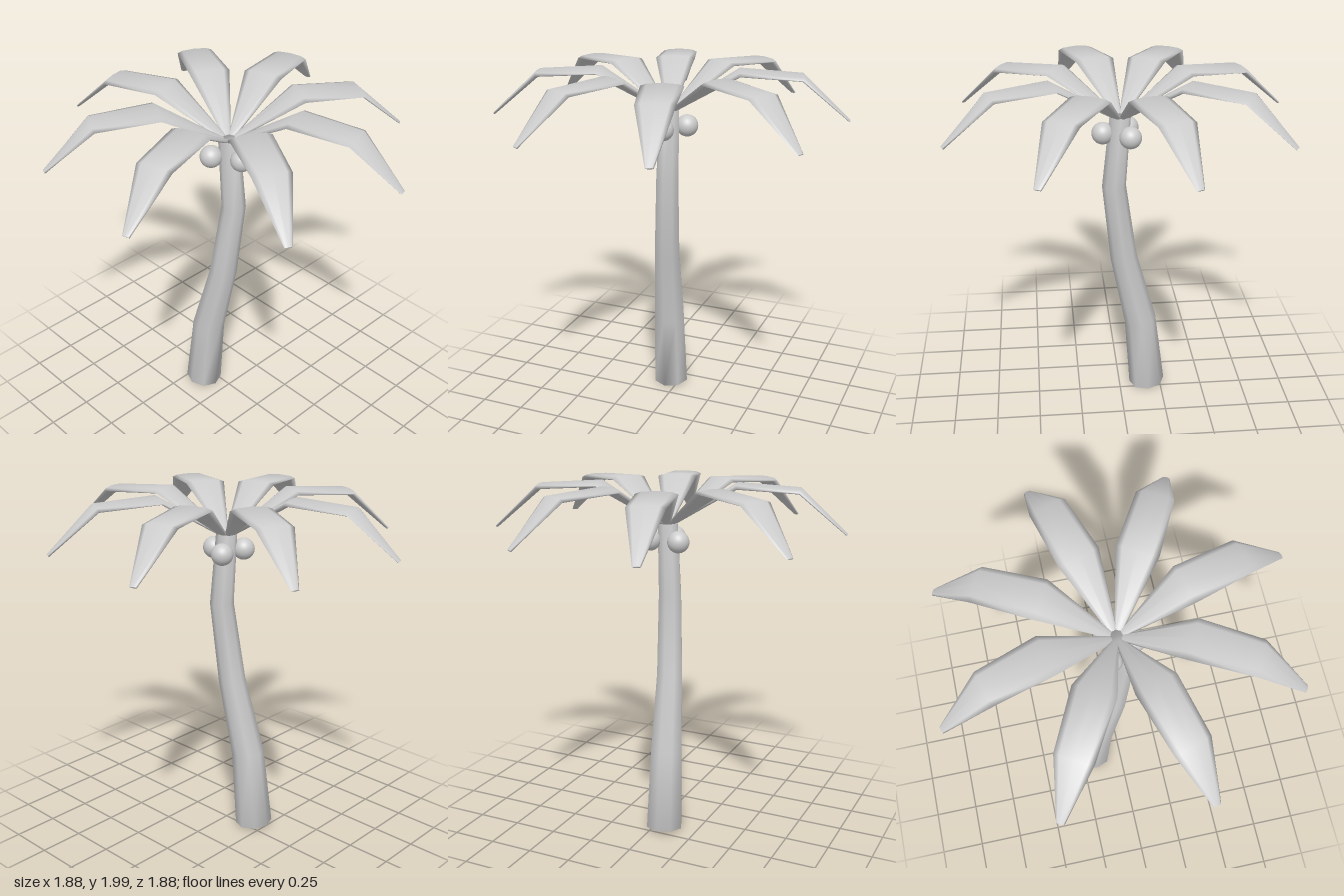
import * as THREE from 'three';

const SIDES = 8;

// Skin a list of elliptical rings { c: centre, u, v: half-axes }, capped at both ends.
// u x v must point along the direction of travel.
function loft(rings, turn = 0) {
  const pos = [], index = [];
  for (const { c, u, v } of rings) {
    for (let i = 0; i < SIDES; i++) {
      const a = (i / SIDES) * Math.PI * 2 + turn;
      const p = c.clone().addScaledVector(u, Math.cos(a)).addScaledVector(v, Math.sin(a));
      pos.push(p.x, p.y, p.z);
    }
  }
  for (let r = 0; r < rings.length - 1; r++) {
    for (let i = 0; i < SIDES; i++) {
      const a = r * SIDES + i, b = r * SIDES + ((i + 1) % SIDES);
      index.push(a, b, b + SIDES, a, b + SIDES, a + SIDES);
    }
  }
  const last = (rings.length - 1) * SIDES;
  for (let i = 1; i < SIDES - 1; i++) {
    index.push(0, i + 1, i, last, last + i, last + i + 1);
  }
  const geo = new THREE.BufferGeometry();
  geo.setAttribute('position', new THREE.Float32BufferAttribute(pos, 3));
  geo.setIndex(index);
  geo.computeVertexNormals();
  return geo;
}

// Direction of a path at point i
function tangent(points, i) {
  const a = points[Math.max(i - 1, 0)], b = points[Math.min(i + 1, points.length - 1)];
  return b.clone().sub(a).normalize();
}

// Curved, tapering stem: x, y, z, radius
function trunkGeometry() {
  const data = [
    [-0.17, 0.018, 0.058, 0.107],
    [-0.125, 0.47, 0.05, 0.094],
    [-0.022, 0.91, 0.023, 0.077],
    [0.035, 1.37, -0.002, 0.067],
    [0, 1.775, 0, 0.058],
  ];
  const centres = data.map(([x, y, z]) => new THREE.Vector3(x, y, z));
  return loft(data.map((d, i) => {
    const t = tangent(centres, i);
    const u = new THREE.Vector3(0, 0, 1).cross(t).negate().normalize();
    const v = t.clone().cross(u);
    return { c: centres[i], u: u.multiplyScalar(d[3]), v: v.multiplyScalar(d[3]) };
  }));
}

// Flattened, drooping leaf along +x: distance out, height, half-width, half-thickness
function frondGeometry() {
  const data = [
    [0.035, 1.775, 0.021, 0.012],
    [0.38, 1.982, 0.112, 0.016],
    [0.715, 1.962, 0.1, 0.016],
    [0.975, 1.732, 0.021, 0.007],
  ];
  const centres = data.map(([x, y]) => new THREE.Vector3(x, y, 0));
  return loft(data.map((d, i) => {
    const t = tangent(centres, i);
    const u = new THREE.Vector3(0, 0, -1);
    const v = t.clone().cross(u);
    return { c: centres[i], u: u.multiplyScalar(d[2]), v: v.multiplyScalar(d[3]) };
  }));
}

export function createModel() {
  const model = new THREE.Group();
  model.name = 'palmTree';
  const grey = new THREE.MeshStandardMaterial({ color: 0xcccccc });
  grey.name = 'plain grey';

  const add = (parent, geometry, name) => {
    const mesh = new THREE.Mesh(geometry, grey);
    mesh.name = name;
    parent.add(mesh);
    return mesh;
  };

  add(model, trunkGeometry(), 'trunk');

  // Crown of eight fronds
  const crown = new THREE.Group();
  crown.name = 'crown';
  model.add(crown);
  const frond = frondGeometry();
  for (let i = 0; i < 8; i++) {
    add(crown, frond, `frond${i + 1}`).rotation.y = THREE.MathUtils.degToRad(16.9 + i * 45);
  }

  // Three coconuts around the top of the trunk
  const coconuts = new THREE.Group();
  coconuts.name = 'coconuts';
  model.add(coconuts);
  const nut = new THREE.SphereGeometry(0.061, 32, 20);
  for (let i = 0; i < 3; i++) {
    const a = (i / 3) * Math.PI * 2;
    add(coconuts, nut, `coconut${i + 1}`).position.set(Math.cos(a) * 0.096, 1.68, Math.sin(a) * 0.1);
  }
  return model;
}
